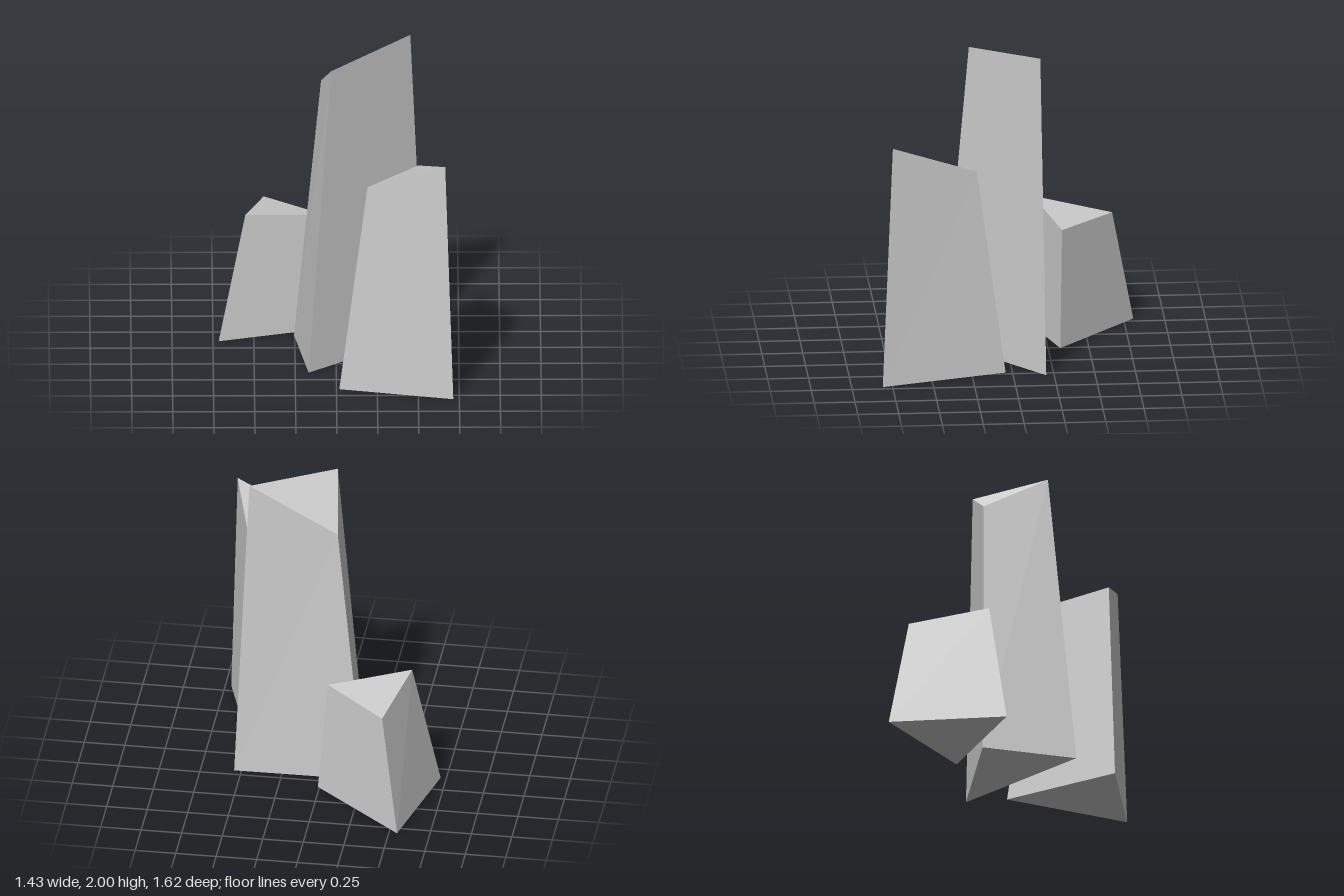
import * as THREE from 'three';

// Tapered three-sided shard. Corners run counter-clockwise seen from above.
// base: [x, z] on the ground, top: [x, y, z] of the slanted cap.
function shard(name, base, top) {
  const b = base.map(([x, z]) => [x, 0, z]);
  const tris = [[b[2], b[1], b[0]], top];
  for (let i = 0; i < 3; i++) {
    const j = (i + 1) % 3;
    tris.push([b[i], b[j], top[j]], [b[i], top[j], top[i]]);
  }
  const geometry = new THREE.BufferGeometry();
  geometry.setAttribute('position', new THREE.Float32BufferAttribute(tris.flat(2), 3));
  geometry.computeVertexNormals();
  const mesh = new THREE.Mesh(
    geometry,
    new THREE.MeshStandardMaterial({ color: 0xcccccc, flatShading: true })
  );
  mesh.name = name;
  return mesh;
}

export function createModel() {
  const group = new THREE.Group();
  group.name = 'rockShards';
  group.add(
    // tall shard in the middle
    shard('tallShard',
      [[-0.255, -0.197], [-0.168, 0.39], [0.545, -0.202]],
      [[-0.09, 1.7, -0.17], [-0.03, 1.93, 0.232], [0.455, 2, -0.172]]),
    // medium shard at the front
    shard('mediumShard',
      [[0.018, 0.65], [0.713, 0.81], [0.475, 0.042]],
      [[0.19, 1.33, 0.633], [0.664, 1.51, 0.745], [0.5, 1.3, 0.22]]),
    // short shard at the back
    shard('shortShard',
      [[-0.55, -0.81], [-0.715, -0.105], [0.01, -0.325]],
      [[-0.438, 0.72, -0.673], [-0.552, 0.8, -0.193], [-0.055, 0.735, -0.34]])
  );
  return group;
}
